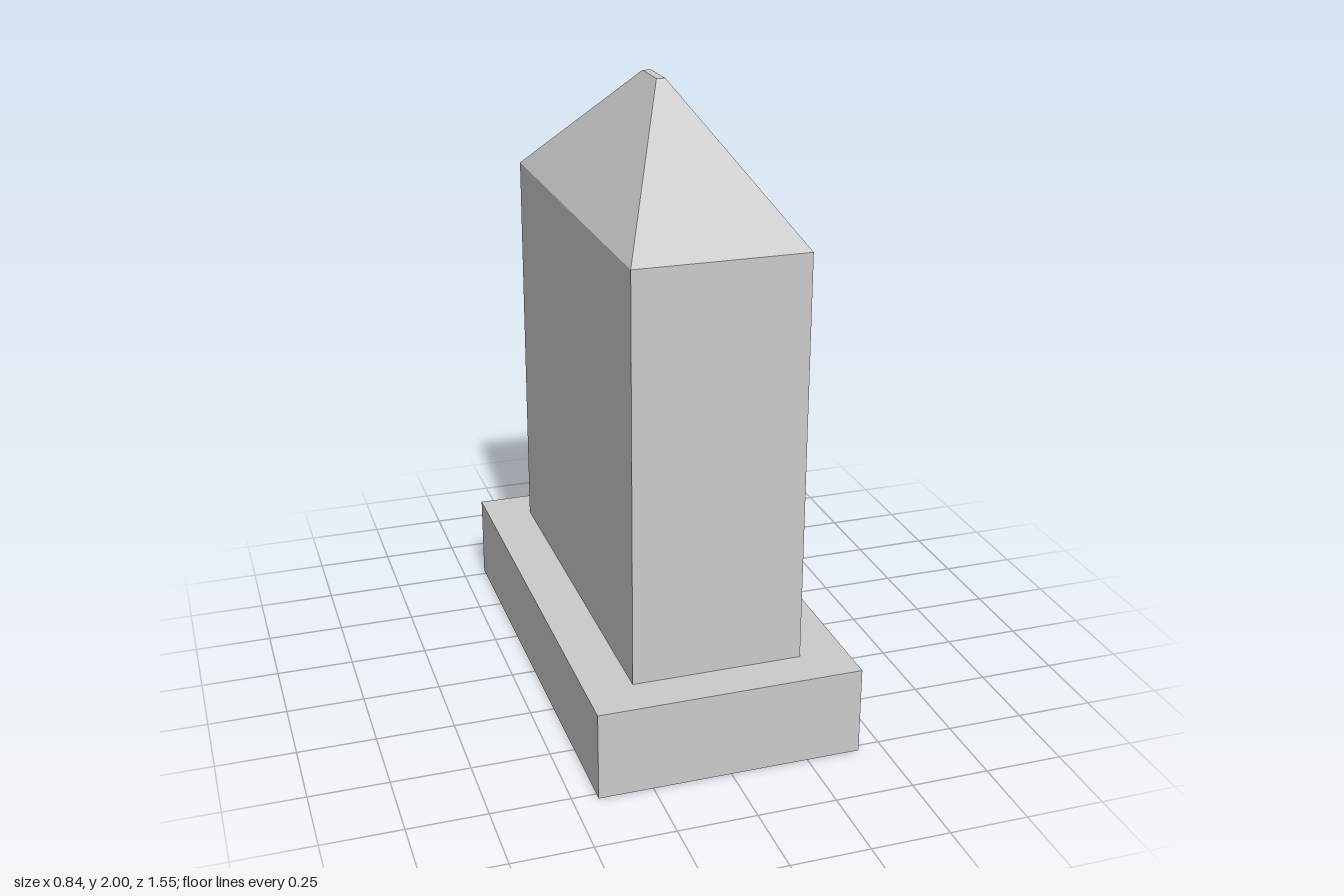
import * as THREE from 'three';

const material = new THREE.MeshStandardMaterial({ color: 0xcccccc, flatShading: true });

// Box standing on y0, with its top face optionally tapered to topW x topD
function block(name, w, d, y0, y1, topW = w, topD = d) {
  const geometry = new THREE.BoxGeometry(w, y1 - y0, d);
  geometry.translate(0, (y0 + y1) / 2, 0);
  const p = geometry.attributes.position;
  const middle = (y0 + y1) / 2;
  for (let i = 0; i < p.count; i++) {
    if (p.getY(i) > middle) {
      p.setX(i, Math.sign(p.getX(i)) * topW / 2);
      p.setZ(i, Math.sign(p.getZ(i)) * topD / 2);
    }
  }
  geometry.computeVertexNormals();
  const mesh = new THREE.Mesh(geometry, material);
  mesh.name = name;
  return mesh;
}

export function createModel() {
  const group = new THREE.Group();
  group.name = 'monument';
  group.add(
    block('plinth', 0.844, 1.55, 0, 0.285),
    block('shaft', 0.544, 1.276, 0.285, 1.595),
    // Hipped cap with a narrow flat ridge
    block('cap', 0.544, 1.276, 1.595, 2, 0.028, 0.14),
  );
  return group;
}
